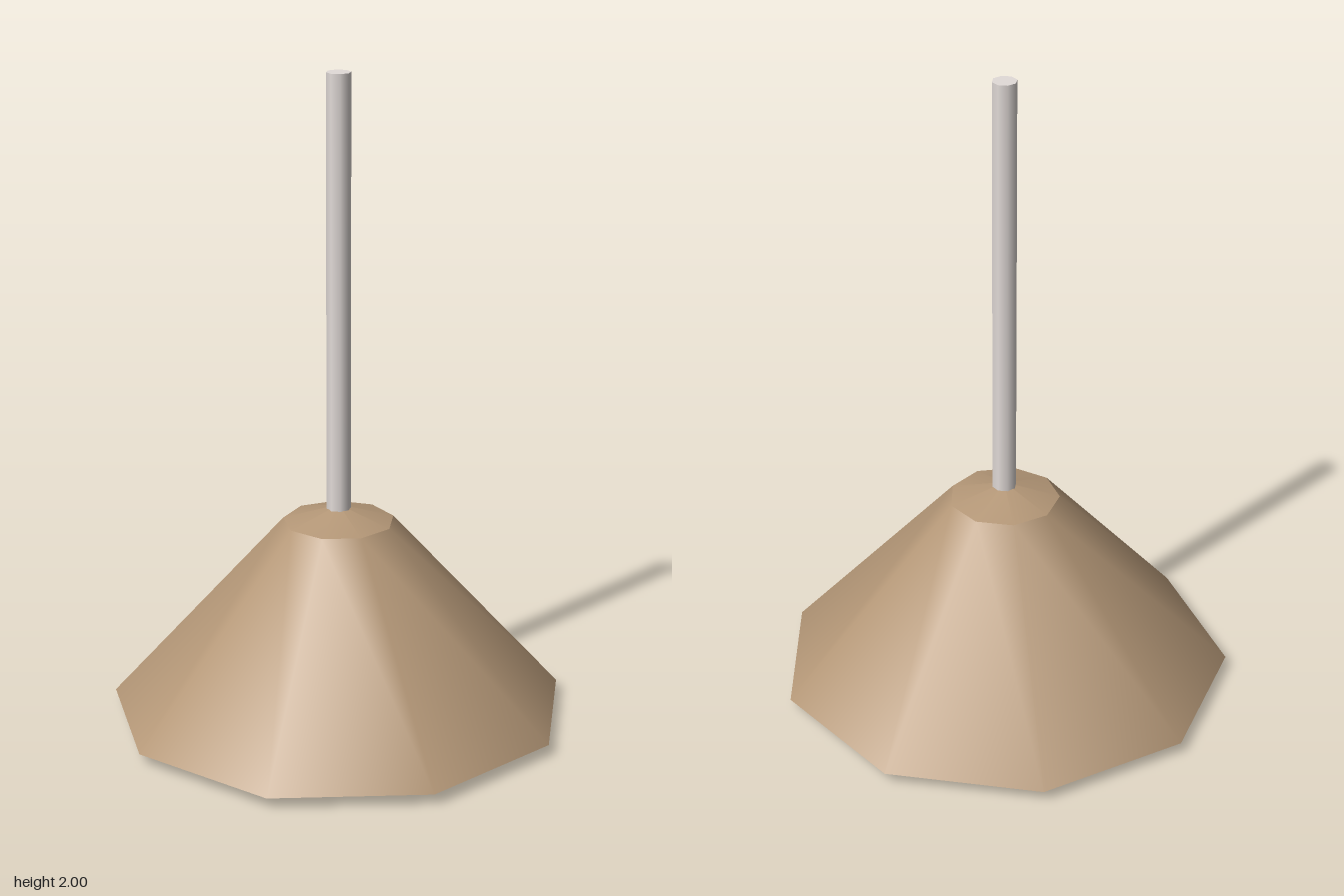
import * as THREE from 'three';

const SIDES = 9;

export function createModel() {
  const brown = new THREE.MeshStandardMaterial({ color: 0xb49777 });
  brown.name = 'tan shade';
  const grey = new THREE.MeshStandardMaterial({ color: 0xd3cecb });
  grey.name = 'lining grey';
  const pale = new THREE.MeshStandardMaterial({ color: 0xe2dbd8 });
  pale.name = 'rod pale grey';
  const yellow = new THREE.MeshStandardMaterial({ color: 0xeade80 });
  yellow.name = 'bulb yellow';

  const lamp = new THREE.Group();
  lamp.name = 'pendantLamp';
  lamp.position.z = 0.02;

  const add = (name, geometry, material, parent = lamp) => {
    const mesh = new THREE.Mesh(geometry, material);
    mesh.name = name;
    parent.add(mesh);
    return mesh;
  };

  // One nine-sided ring of faces: faces outward when it rises, inward when it falls
  const band = (r1, y1, r2, y2) => new THREE.LatheGeometry(
    [new THREE.Vector2(r1, y1), new THREE.Vector2(r2, y2)], SIDES, Math.PI);

  // Shade: under-rim, sloping wall and shallow cap, with hard edges between them
  const shade = new THREE.Group();
  shade.name = 'shade';
  lamp.add(shade);
  add('shadeRim', band(0.62, 0, 0.702, 0.036), brown, shade);
  add('shadeWall', band(0.702, 0.036, 0.17, 0.632), brown, shade);
  add('shadeCap', band(0.17, 0.632, 0, 0.682), brown, shade);

  // Inner lining, parallel to the wall
  add('liningWall', band(0.13, 0.56, 0.62, 0), grey, shade);
  add('liningTop', band(0, 0.6, 0.13, 0.56), grey, shade);

  // Hanging rod
  const rod = add('rod', new THREE.CylinderGeometry(0.037, 0.037, 1.34, 8), pale);
  rod.position.y = 1.33;

  // Faceted bulb under the cap, turned so that one corner points straight up
  const bulb = add('bulb', new THREE.IcosahedronGeometry(0.15, 1), yellow);
  bulb.rotation.z = -Math.atan(2 / (1 + Math.sqrt(5)));
  bulb.position.y = 0.483;

  const model = new THREE.Group();
  model.name = 'model';
  model.add(lamp);
  return model;
}
